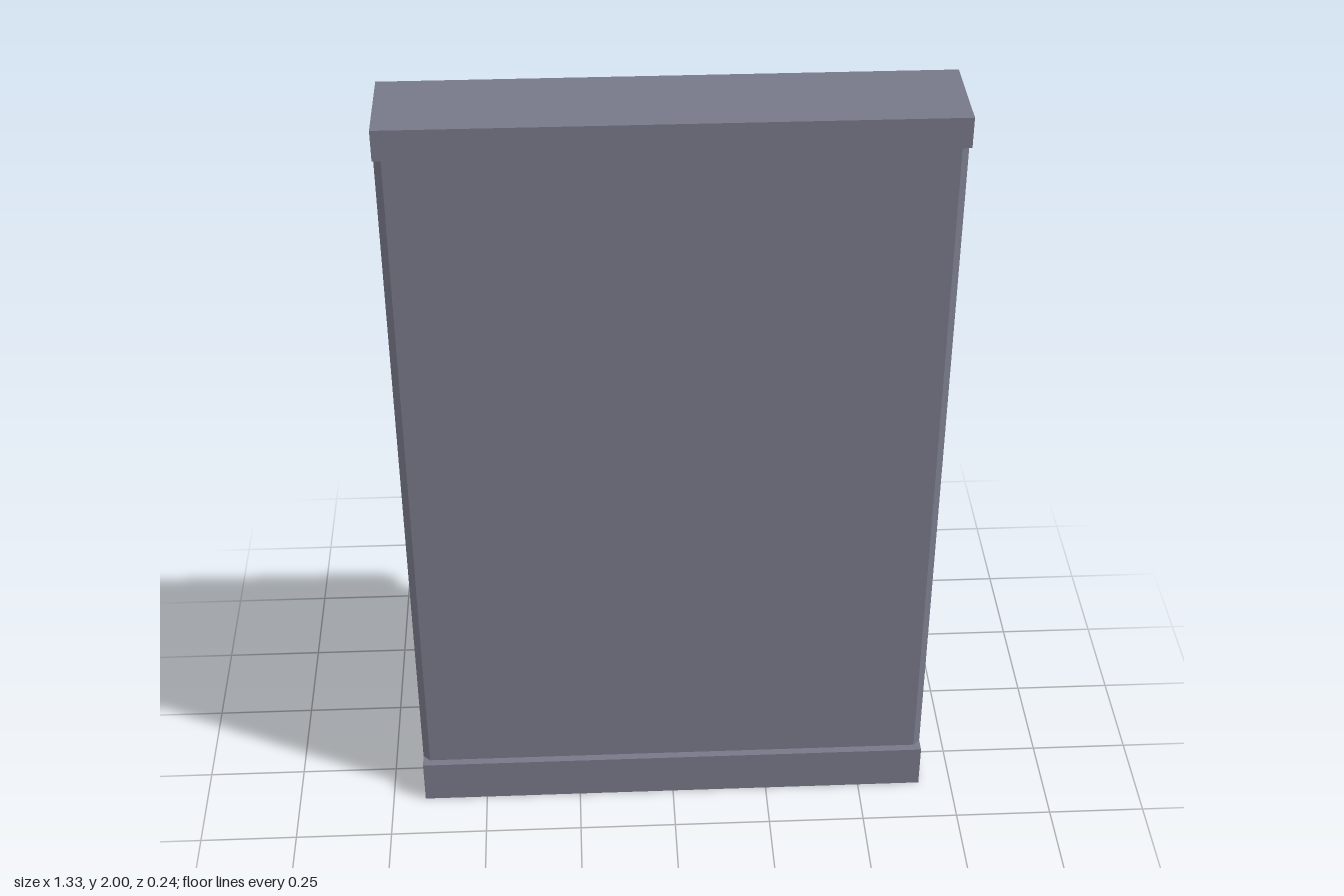
import * as THREE from 'three';

const HALF_WIDTH = 0.665;
const BASE_TOP = 0.12;
const CAP_BOTTOM = 1.925;

export function createModel() {
  const model = new THREE.Group();
  model.name = 'wallPanel';
  const stone = new THREE.MeshStandardMaterial({ color: 0x777888 });
  stone.name = 'slateGrey';

  const add = (name, geometry, y) => {
    const mesh = new THREE.Mesh(geometry, stone);
    mesh.name = name;
    mesh.position.y = y;
    model.add(mesh);
  };

  // Protruding rails along the bottom and top
  const rail = (name, y0, y1) =>
    add(name, new THREE.BoxGeometry(HALF_WIDTH * 2, y1 - y0, 0.24), (y0 + y1) / 2);
  rail('baseRail', 0, BASE_TOP);
  rail('topRail', CAP_BOTTOM, 2);

  // Wall slab with chamfered vertical corners
  const x = HALF_WIDTH, xi = 0.647, z = 0.1, zi = 0.082;
  const plan = new THREE.Shape([
    [x, -zi], [x, zi], [xi, z], [-xi, z],
    [-x, zi], [-x, -zi], [-xi, -z], [xi, -z],
  ].map(([a, b]) => new THREE.Vector2(a, b)));
  const slab = new THREE.ExtrudeGeometry(plan, { depth: CAP_BOTTOM - BASE_TOP, bevelEnabled: false });
  slab.rotateX(-Math.PI / 2);
  add('wallSlab', slab, BASE_TOP);

  return model;
}
